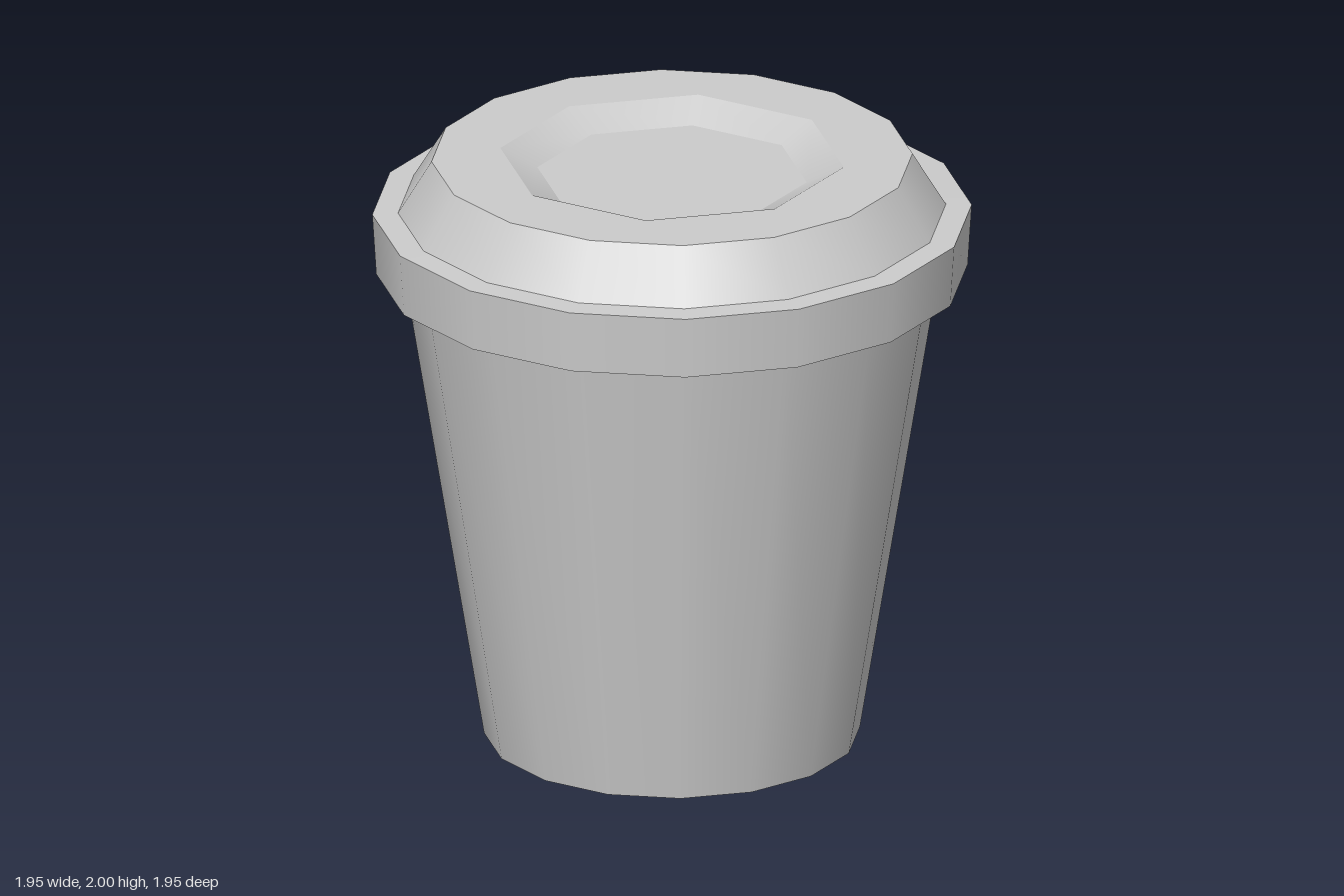
import * as THREE from 'three';

const SIDES = 16;
const RECESS_SIDES = 8;
const RECESS_TURN = -Math.PI / 16;

export function createModel() {
  const material = new THREE.MeshStandardMaterial({ color: 0xcccccc });

  // One lathed ring per profile step: smooth around, sharp between rings.
  function band(parent, name, from, to, sides = SIDES, turn = 0) {
    const points = [new THREE.Vector2(...from), new THREE.Vector2(...to)];
    const mesh = new THREE.Mesh(new THREE.LatheGeometry(points, sides, turn), material);
    mesh.name = name;
    parent.add(mesh);
  }

  // Corners of a regular polygon, matching the lathe's corner positions.
  function polygon(radius, sides, turn = 0) {
    return Array.from({ length: sides }, (_, i) => {
      const a = turn + (i / sides) * Math.PI * 2;
      return new THREE.Vector2(radius * Math.sin(a), -radius * Math.cos(a));
    });
  }

  // Tapered cup body
  const cup = new THREE.Group();
  cup.name = 'cup';
  band(cup, 'cupBase', [0, 0], [0.612, 0]);
  band(cup, 'cupWall', [0.612, 0], [0.873, 1.61]);

  // Lid: overhanging rim and sloping shoulder
  const lid = new THREE.Group();
  lid.name = 'lid';
  band(lid, 'rimUnderside', [0.87, 1.61], [0.963, 1.61]);
  band(lid, 'rimWall', [0.963, 1.61], [0.976, 1.818]);
  band(lid, 'rimLedge', [0.976, 1.818], [0.892, 1.822]);
  band(lid, 'lidShoulder', [0.892, 1.822], [0.783, 2]);

  // Flat lid top with an octagonal opening
  const topShape = new THREE.Shape(polygon(0.783, SIDES));
  topShape.holes.push(new THREE.Path(polygon(0.565, RECESS_SIDES, RECESS_TURN)));
  const lidTop = new THREE.Mesh(new THREE.ShapeGeometry(topShape).rotateX(-Math.PI / 2), material);
  lidTop.name = 'lidTop';
  lidTop.position.y = 2;
  lid.add(lidTop);

  // Shallow recess in the lid top
  band(lid, 'recessWall', [0.565, 2], [0.443, 1.94], RECESS_SIDES, RECESS_TURN);
  band(lid, 'recessFloor', [0.443, 1.94], [0, 1.94], RECESS_SIDES, RECESS_TURN);

  const model = new THREE.Group();
  model.name = 'takeawayCup';
  model.add(cup, lid);
  return model;
}
